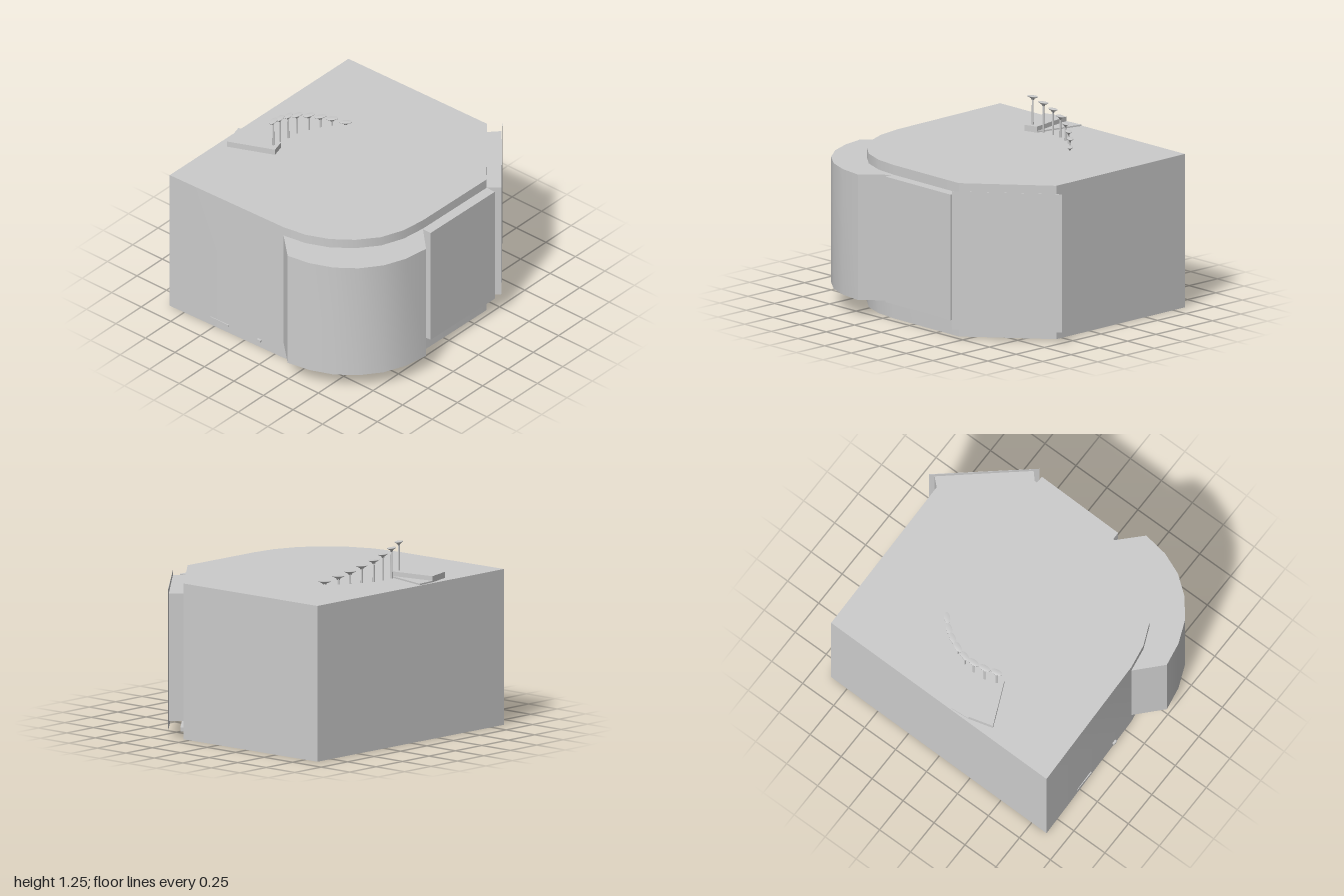
import * as THREE from 'three';
import { toCreasedNormals } from 'three/addons/utils/BufferGeometryUtils.js';

const grey = new THREE.MeshStandardMaterial({ color: 0xcccccc, side: THREE.DoubleSide });

// Vertical prism: floor outline as [x, z] points, raised from y0 to y1
function prism(name, outline, y0, y1, crease = 0.5) {
  const shape = new THREE.Shape(outline.map(([x, z]) => new THREE.Vector2(x, -z)));
  const geo = new THREE.ExtrudeGeometry(shape, { depth: y1 - y0, bevelEnabled: false });
  geo.rotateX(-Math.PI / 2).translate(0, y0, 0);
  const mesh = new THREE.Mesh(toCreasedNormals(geo, crease), grey);
  mesh.name = name;
  return mesh;
}

export function createModel() {
  const model = new THREE.Group();
  model.name = 'counterBlock';

  // Rounded front corner shared by the body and the curved panel
  const innerArc = [[-0.2, 0.7], [-0.365, 0.68], [-0.52, 0.62], [-0.65, 0.515],
    [-0.75, 0.385], [-0.815, 0.235], [-0.842, 0.07]];
  const outerArc = [[-1, 0.24], [-0.972, 0.4], [-0.91, 0.55], [-0.81, 0.68],
    [-0.68, 0.78], [-0.53, 0.84], [-0.36, 0.865]];

  // Main body
  model.add(prism('body',
    [[-0.87, -0.87], [0.88, -0.855], [0.9, 0.3], [0.42, 0.71], ...innerArc], 0, 1.02));

  // Raised panels around the front
  model.add(prism('curvedPanel', [...innerArc, ...outerArc], 0.12, 0.955));
  model.add(prism('frontPanel',
    [[-0.205, 0.7], [0.42, 0.71], [0.418, 0.78], [-0.205, 0.77]], 0.12, 0.955));
  model.add(prism('cornerPanel',
    [[0.42, 0.71], [0.9, 0.3], [0.97, 0.365], [0.485, 0.78]], 0.12, 0.955));
  model.add(prism('cornerPlate',
    [[0.455, 0.805], [0.46, 0.8], [0.99, 0.35], [1, 0.345]], 0.07, 0.99));
  model.add(prism('plateFoot',
    [[0.59, 0.555], [0.89, 0.3], [0.91, 0.32], [0.61, 0.575]], 0.05, 0.075));

  // Small strips low on the right wall
  for (const [z0, z1] of [[-0.53, -0.38], [-0.14, -0.11]]) {
    const strip = new THREE.Mesh(new THREE.BoxGeometry(0.02, 0.015, z1 - z0), grey);
    strip.position.set(-0.853, 0.055, (z0 + z1) / 2);
    strip.name = 'wallStrip';
    model.add(strip);
  }

  // Tapered slab on the roof with a low apron beside it
  model.add(prism('roofSlab',
    [[-0.385, -0.8], [-0.22, -0.845], [-0.165, -0.53], [-0.255, -0.505]], 1.02, 1.06));
  model.add(prism('roofApron',
    [[-0.22, -0.845], [-0.09, -0.855], [-0.165, -0.53]], 1.02, 1.03));

  // Curved row of stands with oval heads, falling in height: [x, z, top]
  const stands = [[-0.222, -0.548, 1.25], [-0.138, -0.563, 1.222], [-0.052, -0.567, 1.194],
    [0.026, -0.558, 1.164], [0.106, -0.527, 1.135], [0.176, -0.49, 1.103],
    [0.239, -0.445, 1.075], [0.302, -0.383, 1.042]];
  stands.forEach(([x, z, top], i) => {
    const stand = new THREE.Group();
    stand.name = 'stand';
    const a = stands[Math.max(i - 1, 0)];
    const b = stands[Math.min(i + 1, stands.length - 1)];
    const head = new THREE.Mesh(new THREE.LatheGeometry(
      [[0, -0.028], [0.009, -0.026], [0.014, -0.016], [0.04, -0.004], [0.04, 0], [0, 0]]
        .map(([r, y]) => new THREE.Vector2(r, y)), 20), grey);
    head.scale.z = 0.5;
    head.rotation.y = -Math.atan2(b[1] - a[1], b[0] - a[0]);
    head.position.y = top;
    head.name = 'standHead';
    const height = top - 1.02;
    const rod = new THREE.Mesh(new THREE.CylinderGeometry(0.006, 0.007, height, 10), grey);
    rod.position.y = 1.02 + height / 2 - 0.005;
    rod.name = 'standRod';
    stand.add(head, rod);
    stand.position.set(x, 0, z);
    model.add(stand);
  });

  return model;
}
